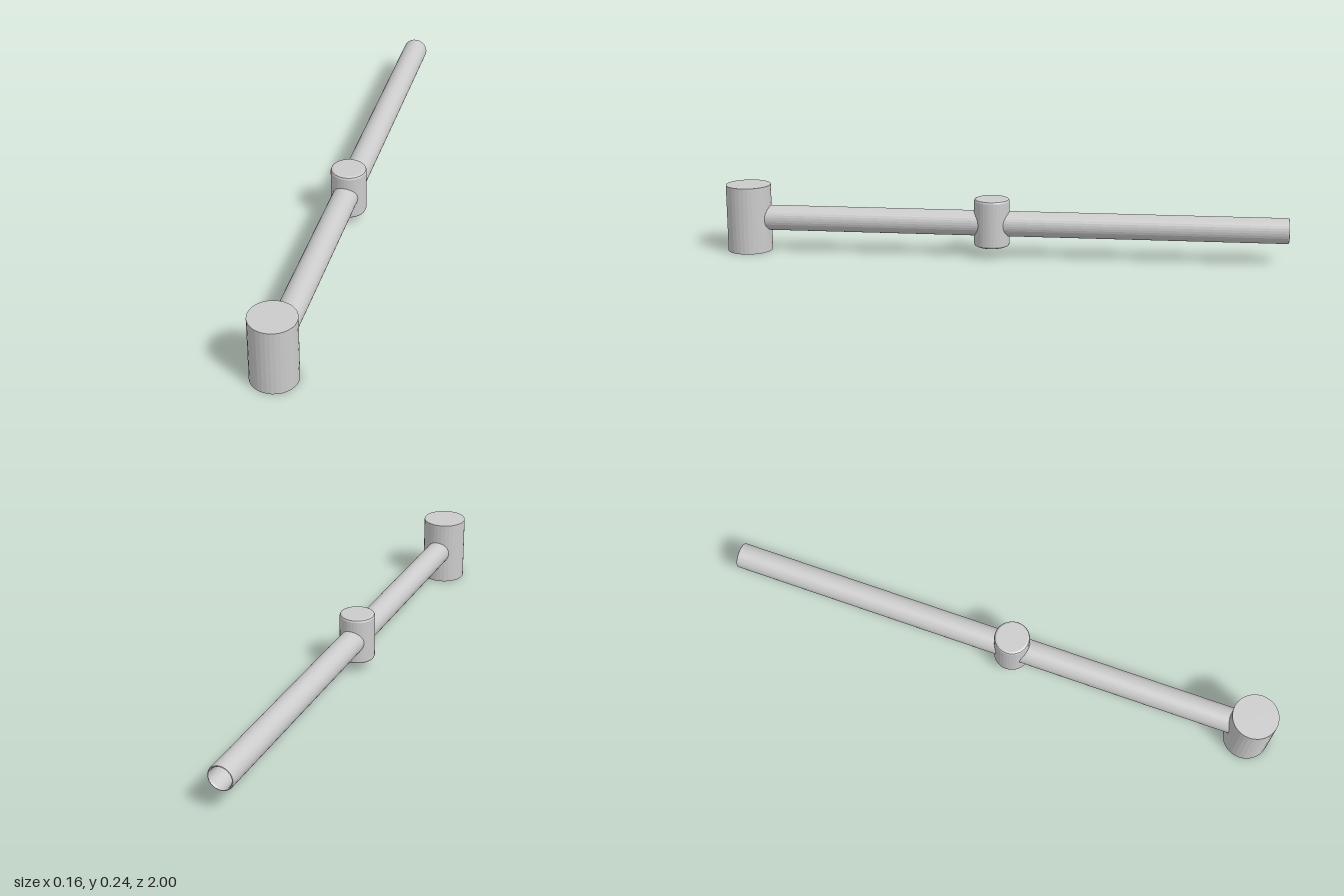
import * as THREE from 'three';

const SIDES = 32;
const AXIS_Y = 0.12;

export function createModel() {
  const group = new THREE.Group();
  const material = new THREE.MeshStandardMaterial({ color: 0xcccccc, flatShading: true });

  const add = (name, geometry, y, z) => {
    const mesh = new THREE.Mesh(geometry, material);
    mesh.name = name;
    mesh.position.set(0, y, z);
    group.add(mesh);
    return mesh;
  };
  const lathe = (points) =>
    new THREE.LatheGeometry(points.map(([r, y]) => new THREE.Vector2(r, y)), SIDES);

  // Upright cylinder at the front end
  add('head', new THREE.CylinderGeometry(0.08, 0.08, 0.24, SIDES), AXIS_Y, 0.92);

  // Smaller upright cylinder with bevelled rims, around the middle of the tube
  const r = 0.063, h = 0.086, b = 0.009;
  add('collar', lathe([
    [0, -h], [r - b, -h], [r - b * 0.3, -h + b * 0.3], [r, -h + b],
    [r, h - b], [r - b * 0.3, h - b * 0.3], [r - b, h], [0, h],
  ]), 0.125, 0.04);

  // Hollow tube, open at the back, with a softened rim; its inside ends within the head
  const tube = add('handleTube', lathe([
    [0, 0.04], [0.038, 0.04], [0.038, 1.915], [0.041, 1.92],
    [0.0437, 1.9187], [0.045, 1.915], [0.045, 0], [0, 0],
  ].reverse()), AXIS_Y, 0.92);
  tube.rotation.x = -Math.PI / 2;

  return group;
}
